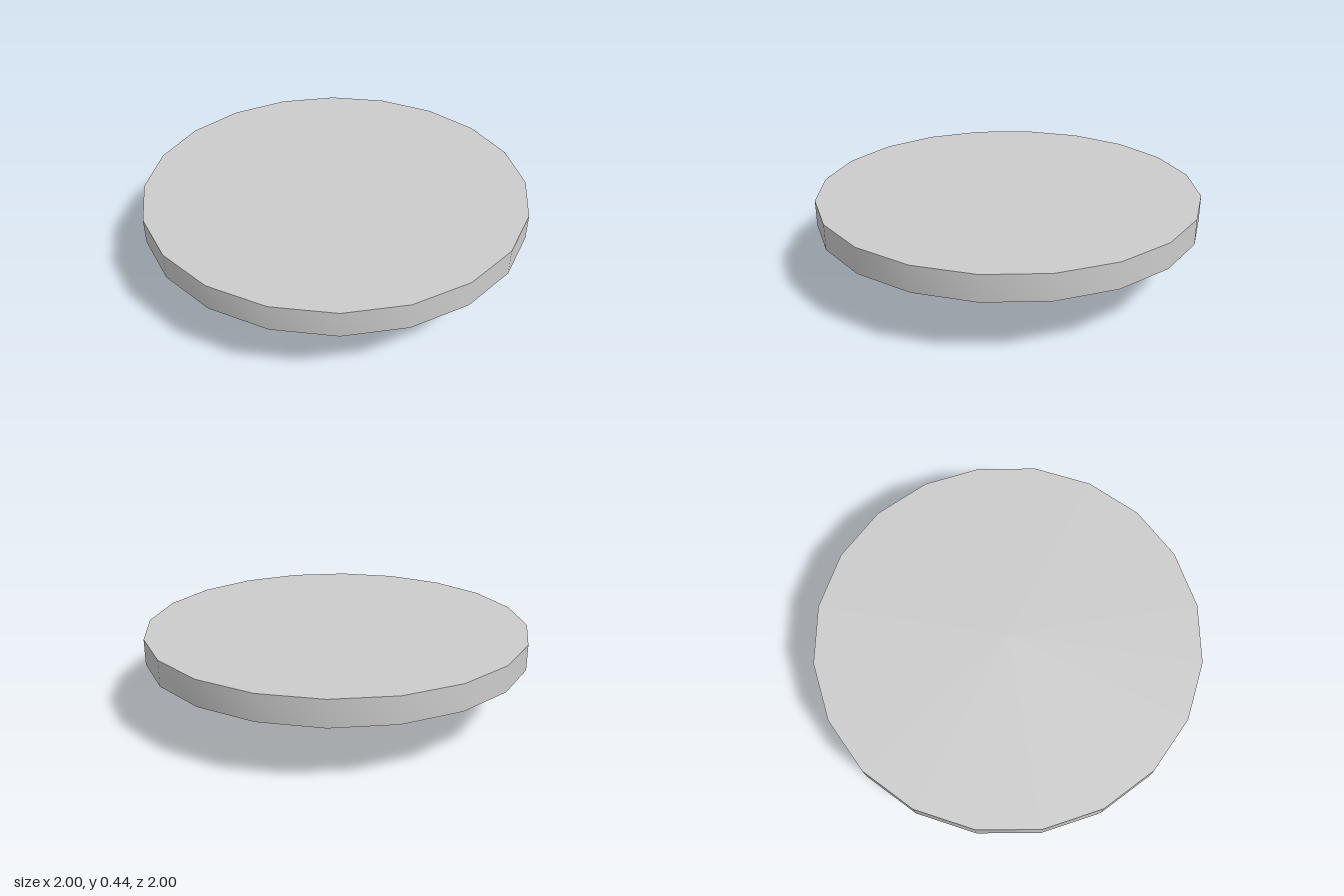
import * as THREE from 'three';
import { toCreasedNormals } from 'three/addons/utils/BufferGeometryUtils.js';

const SIDES = 20;

// Turns a list of [radius, height] pairs around the y axis
function turned(name, profile, material) {
  const points = profile.map(([r, y]) => new THREE.Vector2(r, y));
  const geometry = toCreasedNormals(new THREE.LatheGeometry(points, SIDES), Math.PI / 6);
  const mesh = new THREE.Mesh(geometry, material);
  mesh.name = name;
  return mesh;
}

export function createModel() {
  const group = new THREE.Group();
  group.name = 'domedDisc';
  const grey = new THREE.MeshStandardMaterial({ color: 0xcccccc });

  // Flat lid with a rim that hangs down around the dome
  group.add(turned('lid', [
    [0.95, 0.34], [0.95, 0.305], [1, 0.305], [1, 0.438], [0, 0.438],
  ], grey));

  // Shallow dome below, its edge tucked inside the rim
  group.add(turned('dome', [
    [0, 0], [0.07, 0.003], [0.46, 0.075], [0.61, 0.13], [0.76, 0.203], [0.915, 0.305], [0.95, 0.33],
  ], grey));

  return group;
}
